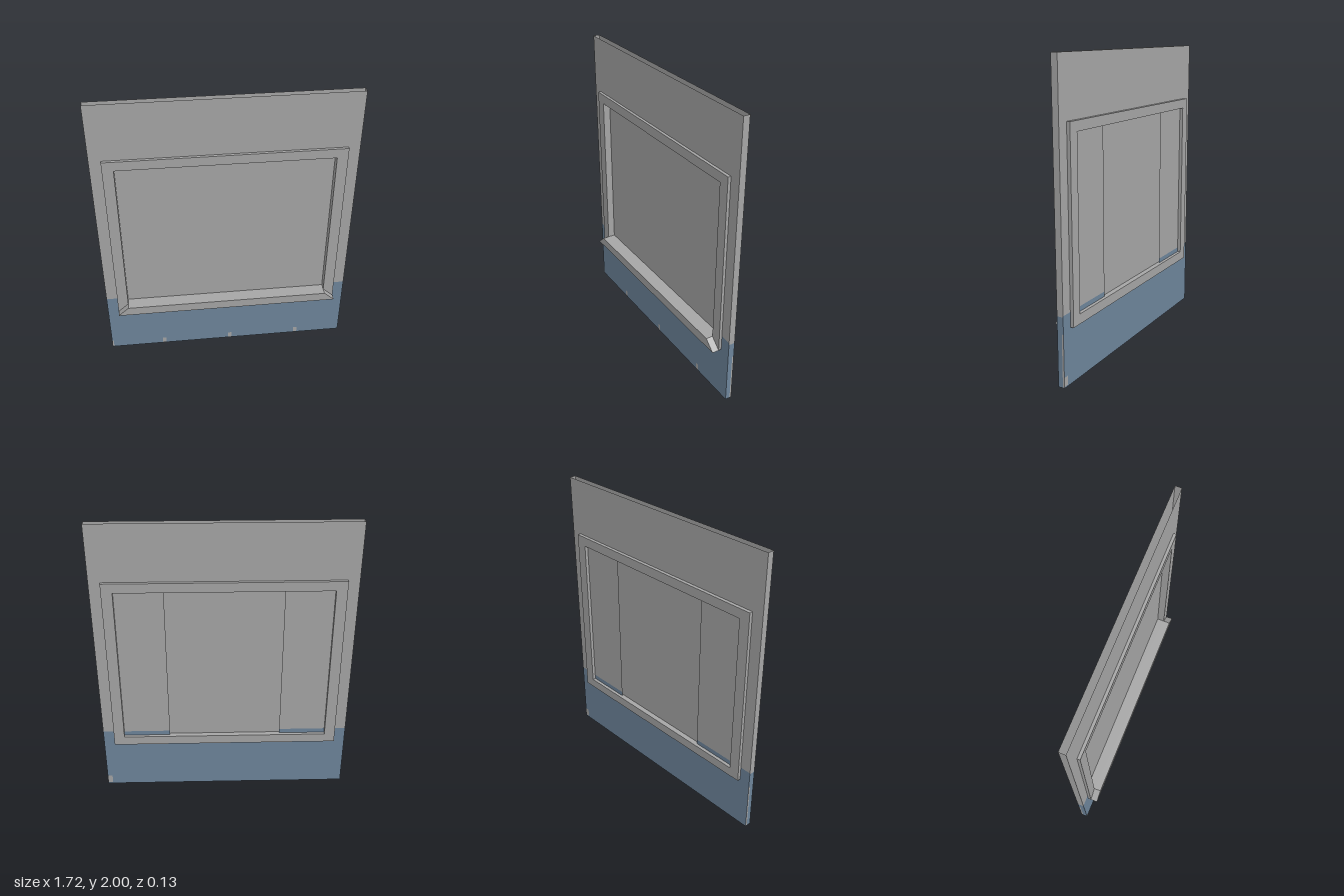
import * as THREE from 'three';

const grey = new THREE.MeshStandardMaterial({ name: 'concreteGrey', color: 0xa5a5a5, side: THREE.DoubleSide });
const blue = new THREE.MeshStandardMaterial({ name: 'paintBlue', color: 0x6d849a, side: THREE.DoubleSide });

const W = 0.86, H = 2;                     // wall half width and height
const ZF = 0, ZB = -0.044;                 // wall front and back
const HOLE = { x: 0.71, y0: 0.435, y1: 1.55 };

function add(group, name, geometry, material) {
  const mesh = new THREE.Mesh(geometry, material);
  mesh.name = name;
  group.add(mesh);
  return mesh;
}

// Upright rectangle facing +z (dir 1) or -z (dir -1)
function rect(group, name, x0, x1, y0, y1, z, dir, material) {
  const m = add(group, name, new THREE.PlaneGeometry(x1 - x0, y1 - y0), material);
  m.position.set((x0 + x1) / 2, (y0 + y1) / 2, z);
  if (dir < 0) m.rotation.y = Math.PI;
}

// Wall face around an opening, painted blue up to the height "paint"
function wallFace(group, name, z, dir, hx, paint) {
  rect(group, name + 'PaintBase', -W, W, 0, HOLE.y0, z, dir, blue);
  rect(group, name + 'Top', -W, W, HOLE.y1, H, z, dir, grey);
  for (const s of [-1, 1]) {
    const x0 = s < 0 ? -W : hx, x1 = s < 0 ? -hx : W;
    rect(group, name + 'PaintSide', x0, x1, HOLE.y0, paint, z, dir, blue);
    rect(group, name + 'Side', x0, x1, paint, HOLE.y1, z, dir, grey);
  }
}

// Wall end face, split into rectangles of colour along depth and height
function wallEnd(group, s) {
  const strip = (y0, y1, z0, z1, material) => {
    const m = add(group, 'wallEnd', new THREE.PlaneGeometry(z1 - z0, y1 - y0), material);
    m.position.set(s * W, (y0 + y1) / 2, (z0 + z1) / 2);
    m.rotation.y = s * Math.PI / 2;
  };
  const zs = -0.032;
  strip(0.46, H, ZB, ZF, grey);
  strip(0.35, 0.46, ZB, ZF, blue);
  strip(0, 0.35, zs, ZF, blue);
  strip(0, 0.35, ZB, zs, grey);
}

function extrude(points, depth, hole) {
  const v = (list) => list.map(([x, y]) => new THREE.Vector2(x, y));
  const shape = new THREE.Shape(v(points));
  if (hole) shape.holes.push(new THREE.Path(v(hole)));
  return new THREE.ExtrudeGeometry(shape, { depth, bevelEnabled: false });
}

const box = (x, y0, y1) => [[-x, y0], [x, y0], [x, y1], [-x, y1]];

export function createModel() {
  const model = new THREE.Group();
  model.name = 'windowWall';

  // Hollow wall, open at top and bottom
  const wall = new THREE.Group();
  wall.name = 'wall';
  wallFace(wall, 'front', ZF, 1, 0.72, 0.477);
  wallFace(wall, 'back', ZB, -1, 0.388, 0.468);
  wallEnd(wall, 1);
  wallEnd(wall, -1);
  model.add(wall);

  // Chipped paint marks along the bottom
  for (const x of [-0.47, 0.025, 0.525])
    rect(wall, 'paintChip', x - 0.013, x + 0.013, 0.005, 0.05, ZF + 0.001, 1, grey);
  rect(wall, 'paintChip', -W, -W + 0.012, 0.005, 0.06, ZF + 0.001, 1, grey);
  rect(wall, 'paintChip', W - 0.035, W, 0.01, 0.07, ZB - 0.001, -1, grey);

  // Window surround passing through the wall
  const frame = add(model, 'windowFrame',
    extrude(box(0.783, 0.37, 1.615), 0.087, box(HOLE.x, HOLE.y0, HOLE.y1)), grey);
  frame.position.z = -0.067;

  // Sill with slanted ends
  const sill = add(model, 'windowSill',
    extrude([[-0.783, 0.37], [0.783, 0.37], [HOLE.x, HOLE.y0], [-HOLE.x, HOLE.y0]], 0.047), grey);
  sill.position.z = 0.02;

  // Pane
  rect(model, 'windowPane', -HOLE.x, HOLE.x, HOLE.y0, HOLE.y1, -0.03, 1, grey);

  return model;
}
